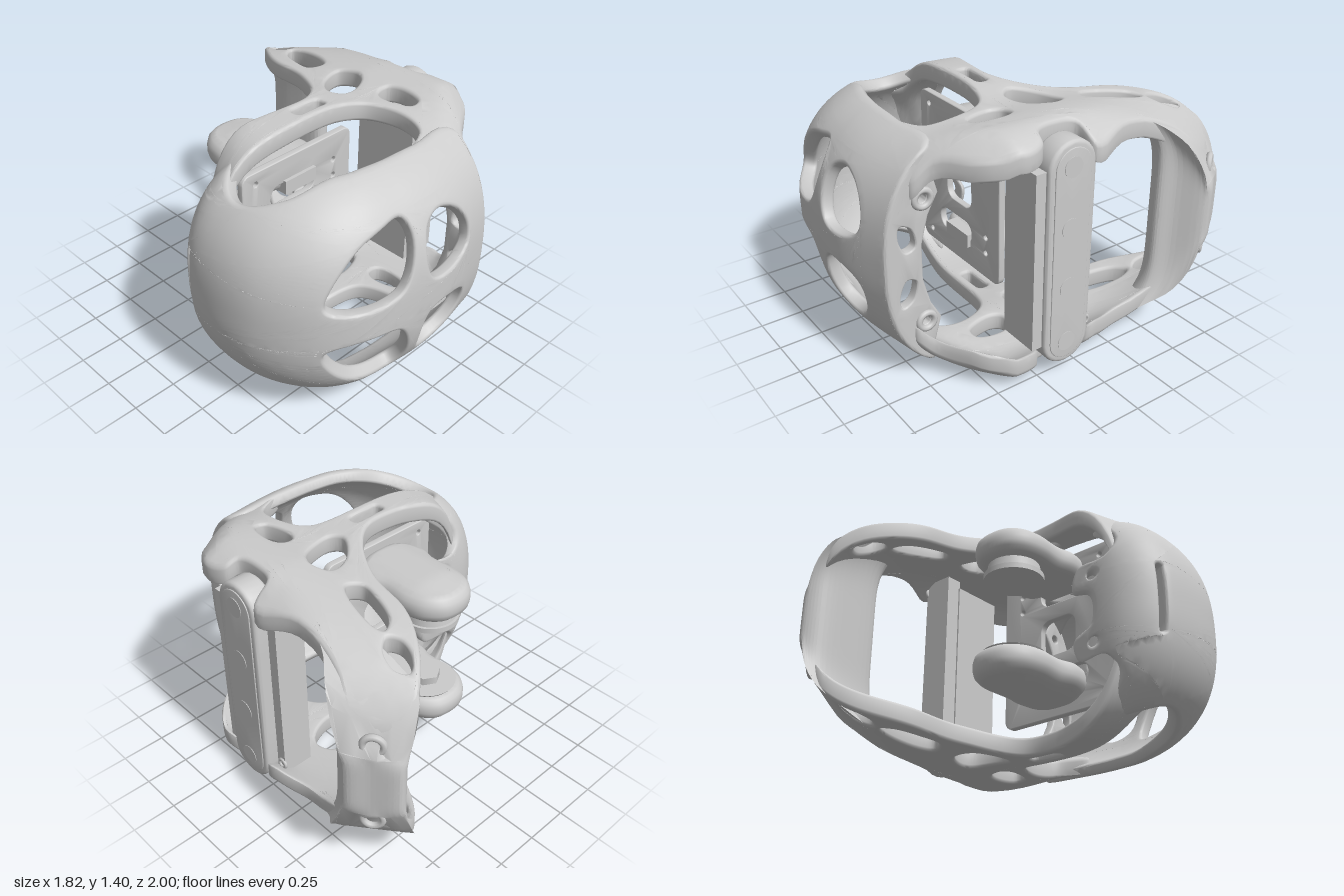
import * as THREE from 'three';
import { toCreasedNormals } from 'three/addons/utils/BufferGeometryUtils.js';

const MID = 0.705; // height of the horizontal mirror plane
const material = new THREE.MeshStandardMaterial({ color: 0xcccccc, roughness: 0.7 });
const clamp = (v, a, b) => Math.min(b, Math.max(a, v));

// smooth closed loop of 2D points
function loop(points, n = 6) {
  const curve = new THREE.CatmullRomCurve3(points.map(p => new THREE.Vector3(p[0], p[1], 0)), true);
  return curve.getPoints(points.length * n).slice(0, -1).map(p => new THREE.Vector2(p.x, p.y));
}
const oval = (x, y, rx, ry, n = 20) => Array.from({ length: n }, (_, i) => {
  const a = i / n * Math.PI * 2;
  return new THREE.Vector2(x + rx * Math.cos(a), y + ry * Math.sin(a));
});
function slot(x, y, hw, hh, r) {
  const p = [];
  for (const [sx, sy, a0] of [[1, 1, 0], [-1, 1, 1], [-1, -1, 2], [1, -1, 3]])
    for (let i = 0; i <= 6; i++) {
      const a = (a0 + i / 6) * Math.PI / 2;
      p.push(new THREE.Vector2(x + sx * (hw - r) + r * Math.cos(a), y + sy * (hh - r) + r * Math.sin(a)));
    }
  return p.filter((q, i) => q.distanceTo(p[(i + 1) % p.length]) > 1e-4);
}

// halve the long edges of every triangle until the sheet can be bent smoothly
function subdivide(geo, limit) {
  const src = (geo.index ? geo.toNonIndexed() : geo).attributes.position, out = [];
  const split = (a, b, c) => {
    const ab = a.distanceTo(b), bc = b.distanceTo(c), ca = c.distanceTo(a);
    const m = Math.max(ab, bc, ca);
    if (!(m > limit)) { out.push(a, b, c); return; }
    // turn the corners so that the longest edge comes first
    const [p, q, r] = m === ab ? [a, b, c] : m === bc ? [b, c, a] : [c, a, b];
    const h = p.clone().add(q).multiplyScalar(0.5);
    split(p, h, r);
    split(h, q, r);
  };
  const v = i => new THREE.Vector3().fromBufferAttribute(src, i);
  for (let i = 0; i < src.count; i += 3) split(v(i), v(i + 1), v(i + 2));
  return out;
}

// cut a flat sheet with holes, then bend it by a rule (u, v, w) => [x, y, z]
function panel(name, outline, holes, depth, bevel, limit, rule) {
  const shape = new THREE.Shape(outline);
  shape.holes = holes.map(h => new THREE.Path(h));
  const flat = new THREE.ExtrudeGeometry(shape, {
    depth: depth - 2 * bevel, bevelEnabled: bevel > 0, bevelSize: bevel, bevelThickness: bevel,
    bevelOffset: -bevel, bevelSegments: 3 });
  flat.translate(0, 0, bevel);
  const pts = subdivide(flat, limit).map(p => new THREE.Vector3(...rule(p.x, p.y, p.z)));
  // keep the faces turned outwards when the rule mirrors the sheet
  let volume = 0;
  for (let i = 0; i < pts.length; i += 3) volume += pts[i].dot(pts[i + 1].clone().cross(pts[i + 2]));
  if (volume < 0) for (let i = 0; i < pts.length; i += 3) [pts[i], pts[i + 1]] = [pts[i + 1], pts[i]];
  const mesh = new THREE.Mesh(toCreasedNormals(new THREE.BufferGeometry().setFromPoints(pts), 0.7), material);
  mesh.name = name;
  return mesh;
}

// half height of the body above the mirror plane
function halfHeight(x, z) {
  const back = clamp((-0.35 - x) / 0.35, 0, 1);
  const a = Math.max(0, -0.1 - x) / 0.82;
  const b = z > 0.3 ? (z - 0.3) / 0.7 : (0.3 - z) / 0.42 * back;
  const q = clamp(Math.hypot(a, b), 0, 0.97);
  const e = clamp((0.8 * x - 0.6 * z - 0.3) / 0.88, 0, 0.985);
  const rightEdge = 0.8 - Math.max(0, z - 0.4);
  return 0.7 * (1 - q ** 2.5) ** 0.4 * (1 - e ** 2.5) ** 0.4 - 0.1 * Math.max(0, -z) * (1 - e)
    - 0.09 * clamp((x - rightEdge + 0.22) / 0.22, 0, 1) ** 2 * clamp((z + 0.4) / 0.3, 0, 1)
    - 0.035 * Math.exp(-(((x - 0.3) / 0.2) ** 2));
}

export function createModel() {
  const model = new THREE.Group();
  const add = (name, geo, x, y, z) => {
    const m = new THREE.Mesh(geo, material);
    m.name = name;
    m.position.set(x, y, z);
    model.add(m);
    return m;
  };

  // upper and lower frame plates, running back into the hoop
  const plate = loop([[-0.84, 0.3], [-0.83, 0.12], [-0.68, -0.02], [-0.45, -0.05], [-0.2, 0], [0, 0], [0.12, -0.08],
    [0.25, -0.3], [0.3, -0.55], [0.36, -0.68], [0.5, -0.86], [0.63, -0.945], [0.74, -0.9], [0.83, -0.72], [0.775, -0.6],
    [0.74, -0.3], [0.8, -0.04], [0.68, 0], [0.66, 0.1], [0.68, 0.22], [0.75, 0.25], [0.78, 0.37], [0.7, 0.52],
    [0.48, 0.68], [0.42, 0.78], [0.25, 0.73], [0.08, 0.67], [0.25, 0.57], [0.28, 0.42], [0.22, 0.25], [0.1, 0.19],
    [-0.3, 0.17], [-0.65, 0.16], [-0.73, 0.25]]);
  const plateHoles = [
    loop([[0.47, -0.7], [0.49, -0.79], [0.55, -0.84], [0.59, -0.78], [0.57, -0.69], [0.51, -0.65]]),
    loop([[0.35, -0.32], [0.36, -0.42], [0.42, -0.57], [0.49, -0.61], [0.51, -0.55], [0.47, -0.35], [0.42, -0.28]]),
    loop([[0.17, 0.02], [0.27, -0.11], [0.4, -0.14], [0.44, -0.04], [0.39, 0.04], [0.22, 0.08]]),
    slot(-0.06, 0.088, 0.1, 0.032, 0.025),
    loop([[0.33, 0.26], [0.36, 0.2], [0.43, 0.2], [0.46, 0.27], [0.43, 0.41], [0.37, 0.41]])];
  for (const s of [1, -1])
    model.add(panel(s > 0 ? 'upperFrame' : 'lowerFrame', plate, plateHoles, 0.11, 0.02, 0.06,
      (u, v, w) => [u, MID + s * (halfHeight(u, v) - 0.11 + w), v]));

  // rear wall of the hoop, flaring into the plates
  const rear = loop([[0.67, -0.56], [0.74, -0.55], [0.79, -0.63], [0.9, -0.77], [0.83, -0.88], [0.735, -0.998],
    [0.66, -0.94], [0.64, -0.75]]);
  model.add(panel('hoopRearWall', rear, [], 2, 0, 0.07, (u, v, w) => {
    const flare = 1 + 0.45 * Math.abs(w - 1) ** 6;
    const x = u < 0.82 ? 0.82 + (u - 0.82) * flare : u, z = v > -0.88 ? -0.88 + (v + 0.88) * flare : v;
    return [x, MID + (w - 1) * (halfHeight(x, z) - 0.012 * clamp((x * -0.8 + z * 0.6 + 1.05) / 0.1, 0, 1)), z];
  }));

  // domed shell wrapping from the back round the right side to the front
  const path = new THREE.CatmullRomCurve3([[-0.3, -0.06], [-0.7, -0.08], [-0.87, 0.05], [-0.92, 0.27], [-0.88, 0.55],
    [-0.72, 0.8], [-0.5, 0.94], [-0.2, 0.99], [0.05, 1], [0.42, 0.93]].map(p => new THREE.Vector3(p[0], 0, p[1])));
  const length = 2.61;
  const dome = (u, v, w) => {
    const p = path.getPointAt(clamp(u / length, 0, 1)), cx = Math.max(-0.1, p.x);
    const k = 1 - (0.08 - w) * 1.3;
    const s = k * (1 - clamp(Math.abs(v) / 0.7, 0, 0.99) ** 2.5) ** 0.4;
    return [cx + (p.x - cx) * s, MID + v * k, 0.3 + (p.z - 0.3) * s];
  };
  const edge = [[2.61, 0.3], [2.61, 0.5], [2.6, 0.62], [2.3, 0.645], [1.98, 0.65], [1.7, 0.65], [1.4, 0.635], [1.15, 0.575],
    [0.85, 0.52], [0.6, 0.57], [0.36, 0.6], [0.42, 0.4], [0.32, 0.29], [0.12, 0.28], [0.08, 0.16], [0.22, 0.09]];
  const flip = pts => pts.map(([u, v]) => [u, -v]).reverse();
  const bigHole = [[1.47, 0.15], [1.5, 0.25], [1.63, 0.4], [1.8, 0.46], [1.95, 0.47], [1.99, 0.39], [1.94, 0.18], [1.87, 0.11], [1.53, 0.11]];
  const smallHole = [[2.07, 0.2], [2.12, 0.1], [2.3, 0.1], [2.4, 0.16], [2.41, 0.26], [2.33, 0.38], [2.2, 0.43], [2.1, 0.38]];
  const holes = [bigHole, smallHole].flatMap(h => [loop(h), loop(flip(h))]);
  holes.push(slot(0.62, 0, 0.02, 0.2, 0.019));
  for (const s of [1, -1]) holes.push(oval(0.23, s * 0.2, 0.04, 0.03));
  model.add(panel('domedShell', loop([...edge, ...flip(edge)]), holes, 0.08, 0.018, 0.05, dome));

  // flange closing the front edge of the shell
  const rim = [];
  for (let i = -8; i <= 8; i++) {
    const d = i / 8 * 0.55;
    rim.push(new THREE.Vector2(0.29 + 0.63 * (1 - (Math.abs(d) / 0.7) ** 2.5) ** 0.4, d));
  }
  for (const p of [[0.66, 0.5], [0.62, 0.36], [0.68, 0.25], [0.72, 0.1], [0.72, -0.1], [0.68, -0.25], [0.62, -0.36], [0.66, -0.5]])
    rim.push(new THREE.Vector2(...p));
  const rimHoles = [1, -1].flatMap(s => [
    loop([[0.76, s * 0.1], [0.78, s * 0.2], [0.84, s * 0.23], [0.85, s * 0.16], [0.81, s * 0.08]]),
    oval(0.71, s * 0.35, 0.025, 0.025)]);
  model.add(panel('frontFlange', rim, rimHoles, 0.06, 0.01, 0.12, (u, v, w) => [0.36 + w, MID + v, u]));

  // column and rounded side bar
  add('column', new THREE.BoxGeometry(0.24, 1.0, 0.32), 0.66, MID, 0.15);
  add('columnRib', new THREE.BoxGeometry(0.18, 1.1, 0.1), 0.64, MID, -0.05);
  model.add(panel('sideBar', slot(0.105, 0, 0.145, 0.635, 0.144), [], 0.14, 0.02, 0.3,
    (u, v, w) => [0.665 + w, MID + v, u]));
  model.add(panel('sideBarInset', slot(0.105, 0, 0.11, 0.6, 0.109), [], 0.01, 0.003, 0.3,
    (u, v, w) => [0.8 + w, MID + v, u]));
  for (const d of [-0.5, -0.17, 0.17, 0.5])
    add('sideBarDisc', new THREE.CylinderGeometry(0.055, 0.055, 0.006, 24), 0.81, MID + d, 0.11).rotation.z = Math.PI / 2;

  // inner back plate with slots
  const innerHoles = [1, -1].flatMap(s => [slot(-0.2, s * 0.27, 0.16, 0.065, 0.06),
    oval(0.1, s * 0.32, 0.016, 0.016), oval(0.1, s * 0.22, 0.016, 0.016), oval(-0.46, s * 0.41, 0.016, 0.016)]);
  innerHoles.push(slot(-0.16, 0, 0.12, 0.11, 0.06));
  model.add(panel('innerPlate', slot(-0.16, 0, 0.39, 0.48, 0.05), innerHoles, 0.04, 0.005, 0.3,
    (u, v, w) => [u, MID + v, 0.08 + w]));

  const knob = loop([[-0.34, 0.08], [-0.39, -0.04], [-0.365, -0.15], [-0.37, -0.3], [-0.335, -0.42], [-0.24, -0.5], [-0.08, -0.5],
    [0.01, -0.42], [0.045, -0.3], [0.04, -0.15], [0.06, -0.04], [0.02, 0.08]]);
  for (const s of [1, -1]) {
    // rear knob with its arm
    model.add(panel('rearKnob', knob, [], 0.14, 0.055, 0.06, (u, v, w) => {
      const ridge = Math.exp(-(((u + 0.16) / 0.15) ** 4)) * clamp((v + 0.52) / 0.2, 0, 1);
      return [u, MID + s * (0.265 + w * (1 + 0.25 * ridge)), v];
    }));
    add('knobArm', new THREE.BoxGeometry(0.22, 0.08, 0.2), -0.16, MID + s * 0.31, 0.04);

    // screw seats on the hoop end, flange and column rib
    const end = add('hoopScrew', new THREE.TorusGeometry(0.05, 0.018, 8, 24), 0.795, MID + s * 0.24, -0.86);
    end.rotation.y = Math.atan2(0.8, -0.6);
    const seat = add('flangeScrew', new THREE.TorusGeometry(0.045, 0.018, 8, 24), 0.42, MID + s * 0.35, 0.71);
    seat.rotation.y = Math.PI / 2;
    const small = add('ribScrew', new THREE.TorusGeometry(0.025, 0.01, 8, 16), 0.73, MID + s * 0.49, -0.08);
    small.rotation.y = Math.PI / 2;
  }
  // pivot discs on the upper knob, plain hub on the lower one
  add('pivotDisc', new THREE.CylinderGeometry(0.165, 0.165, 0.03, 32), -0.16, 0.9, -0.3);
  add('pivotDiscCap', new THREE.CylinderGeometry(0.14, 0.15, 0.07, 32), -0.16, 0.95, -0.3);
  add('lowerPivotDisc', new THREE.CylinderGeometry(0.17, 0.15, 0.03, 32), -0.16, 0.435, -0.3);
  add('lowerHub', new THREE.CylinderGeometry(0.08, 0.08, 0.05, 6), -0.16, 0.47, -0.3);
  return model;
}
